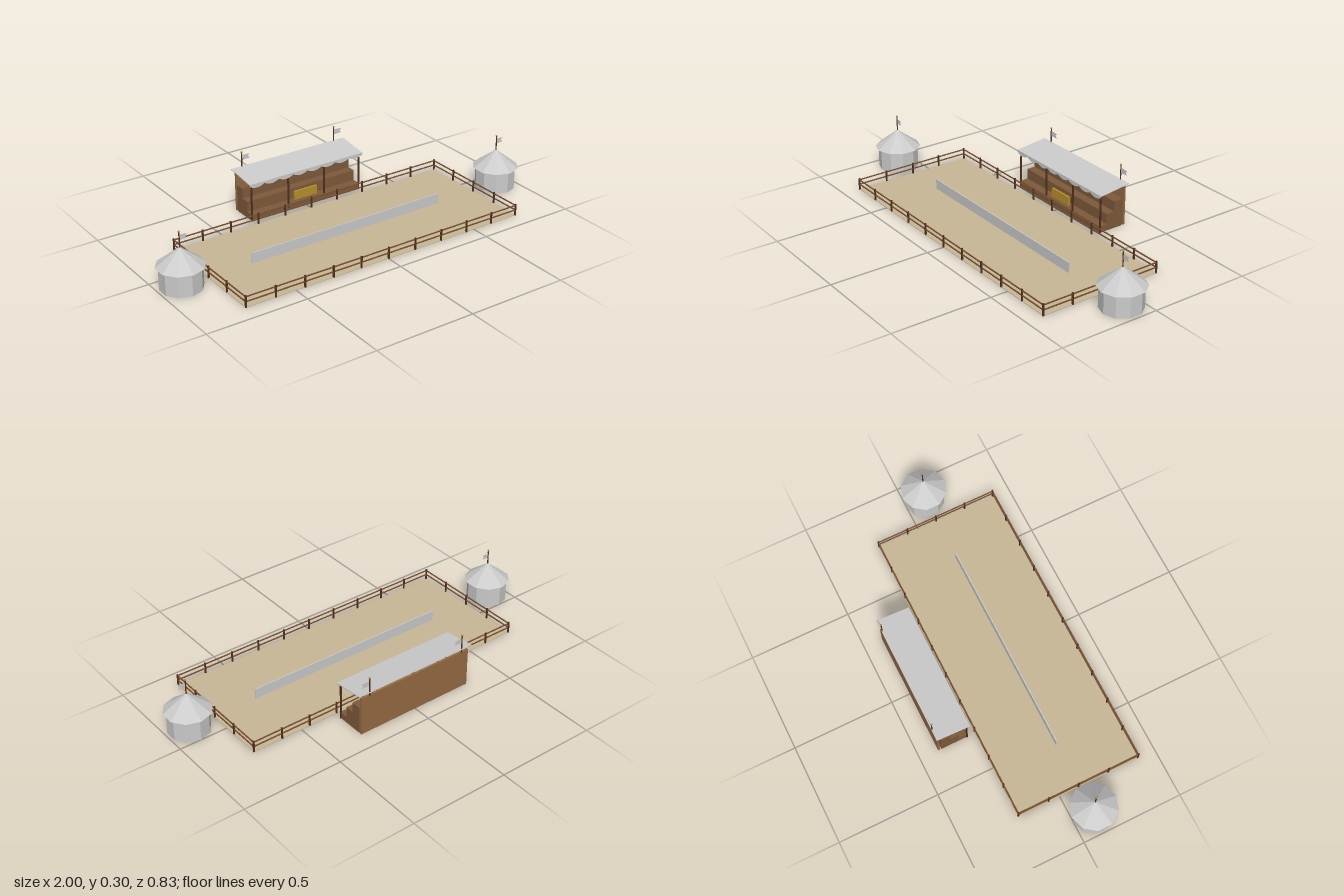
import * as THREE from 'three';

const mat = (color, double) => new THREE.MeshStandardMaterial({
  color, flatShading: true, side: double ? THREE.DoubleSide : THREE.FrontSide });
const GREY = mat(0xcccccc), CLOTH = mat(0xcccccc, true), SAND = mat(0xc8b896),
  DARK = mat(0x4f3120), RAIL = mat(0x7a5232), STEP = mat(0x7e5a3a),
  WALL = mat(0x966b42), GOLD = mat(0xb88f2c);

function add(parent, name, geometry, material, x = 0, y = 0, z = 0) {
  const mesh = new THREE.Mesh(geometry, material);
  mesh.name = name;
  mesh.position.set(x, y, z);
  parent.add(mesh);
  return mesh;
}

// Box given by its minimum and maximum on each axis
function box(parent, name, material, x0, x1, y0, y1, z0, z1) {
  return add(parent, name, new THREE.BoxGeometry(x1 - x0, y1 - y0, z1 - z0), material,
    (x0 + x1) / 2, (y0 + y1) / 2, (z0 + z1) / 2);
}

function group(parent, name) {
  const g = new THREE.Group();
  g.name = name;
  parent.add(g);
  return g;
}

// Pole with a gold ball and a swallow-tailed flag flying to +x
function flagpole(parent, x, z, bottom, top, length) {
  const g = group(parent, 'flagpole');
  add(g, 'pole', new THREE.CylinderGeometry(0.003, 0.003, top - bottom, 6), DARK, x, (top + bottom) / 2, z);
  add(g, 'finial', new THREE.SphereGeometry(0.005, 8, 6), GOLD, x, top, z);
  const h = 0.028;
  const flag = new THREE.Shape([[0, 0], [length, -0.003], [length * 0.78, -h / 2], [length, -h + 0.003], [0, -h]]
    .map(([a, b]) => new THREE.Vector2(a, b)));
  add(g, 'flag', new THREE.ShapeGeometry(flag), CLOTH, x, top - 0.014, z);
}

// Ten-sided pavilion tent
function tent(parent, x, z) {
  const g = group(parent, 'tent');
  add(g, 'tentWall', new THREE.CylinderGeometry(0.1, 0.1, 0.109, 10), GREY, x, 0.0545, z);
  add(g, 'tentRoof', new THREE.ConeGeometry(0.114, 0.088, 10), GREY, x, 0.153, z);
  flagpole(g, x, z, 0.19, 0.27, 0.038);
}

// Post-and-rail fence around the arena
function fence(parent, X, z0, z1) {
  const g = group(parent, 'fence'), w = 0.0035, r = 0.0025;
  const post = (x, z) => box(g, 'fencePost', DARK, x - w, x + w, 0, 0.06, z - w, z + w);
  for (let i = 0; i <= 10; i++) for (const z of [z0, z1]) post(-X + i * X / 5, z);
  for (let i = 1; i < 4; i++) for (const x of [-X, X]) post(x, z0 + (z1 - z0) * i / 4);
  for (const y of [0.029, 0.053]) {
    for (const z of [z0, z1]) box(g, 'longRail', RAIL, -X, X, y - r, y + r, z - r, z + r);
    for (const x of [-X, X]) box(g, 'sideRail', RAIL, x - r, x + r, y - r, y + r, z0, z1);
  }
}

function grandstand(parent) {
  const g = group(parent, 'grandstand'), X = 0.31;
  // Stepped seating, profile drawn in (-z, y) and extruded along x
  const profile = new THREE.Shape([[0.253, 0], [0.389, 0], [0.389, 0.138], [0.34, 0.138], [0.34, 0.086],
    [0.296, 0.086], [0.296, 0.033], [0.253, 0.033]].map(([a, b]) => new THREE.Vector2(a, b)));
  const steps = new THREE.ExtrudeGeometry(profile, { depth: 2 * X, bevelEnabled: false });
  steps.translate(0, 0, -X).rotateY(Math.PI / 2);
  add(g, 'steppedSeats', steps, STEP);
  box(g, 'backWall', WALL, -X, X, 0, 0.197, -0.406, -0.396);
  box(g, 'goldPanel', GOLD, -0.065, 0.065, 0.042, 0.086, -0.271, -0.26);
  for (let i = 0; i < 4; i++) {
    const x = -X + i * 2 * X / 3;
    box(g, 'roofPost', DARK, x - 0.0035, x + 0.0035, 0, 0.197, -0.26, -0.253);
  }
  // Sloping roof
  const depth = 0.167, rise = 0.02;
  const roof = add(g, 'roof', new THREE.BoxGeometry(0.65, 0.004, Math.hypot(depth, rise)), GREY, 0, 0.206, -0.3285);
  roof.rotation.x = Math.atan2(rise, depth);
  // Scalloped valance along the front edge
  const n = 8, s = 0.65 / n;
  const edge = new THREE.Shape();
  edge.moveTo(-0.325, 0.198);
  edge.lineTo(-0.325, 0.188);
  for (let i = 0; i < n; i++) {
    const x = -0.325 + i * s;
    edge.quadraticCurveTo(x + s / 2, 0.164, x + s, 0.188);
  }
  edge.lineTo(0.325, 0.198);
  add(g, 'valance', new THREE.ShapeGeometry(edge, 6), CLOTH, 0, 0, -0.2445);
  for (const x of [-0.267, 0.267]) flagpole(g, x, -0.409, 0.198, 0.292, 0.046);
}

export function createModel() {
  const model = new THREE.Group();
  model.name = 'tournamentGround';
  box(model, 'arenaFloor', SAND, -0.757, 0.757, 0, 0.003, -0.215, 0.412);
  box(model, 'tiltBarrier', GREY, -0.533, 0.533, 0.003, 0.055, 0.0975, 0.1025);
  fence(model, 0.755, -0.213, 0.411);
  grandstand(model);
  for (const side of [-1, 1]) tent(model, side * 0.891, 0.1);
  return model;
}
